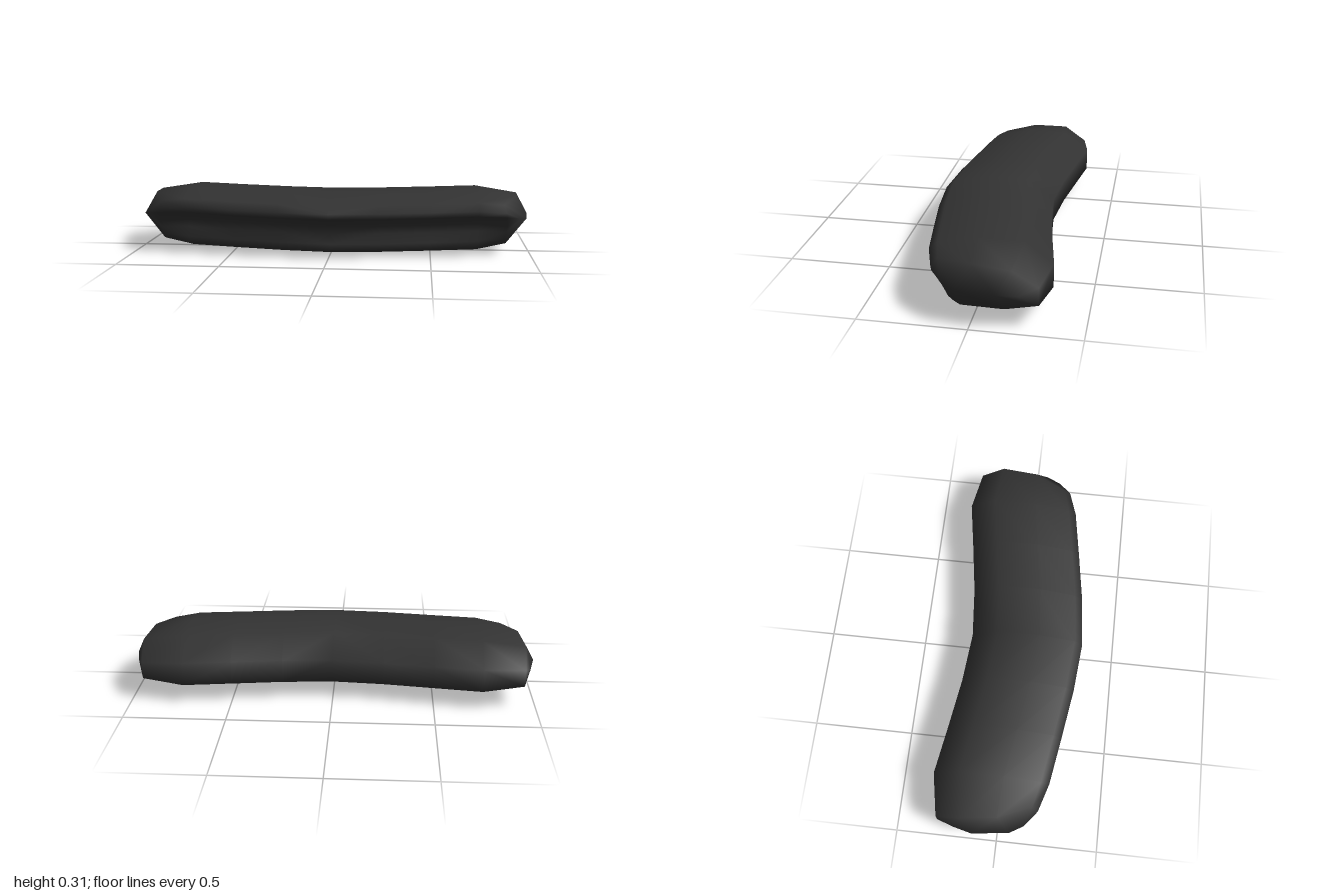
import * as THREE from 'three';
import { mergeVertices } from 'three/addons/utils/BufferGeometryUtils.js';

// Middle cross-section as [z, y]: lip, top, back, bottom, then up through the front groove
const profile = [
  [0.33, 0.23], [0.29, 0.267], [0.11, 0.306], [-0.105, 0.301], [-0.235, 0.205],
  [-0.235, 0.09], [-0.07, 0.016], [0.125, 0.002], [0.205, 0.025], [0.215, 0.06],
  [0.2, 0.11], [0.217, 0.15], [0.25, 0.19], [0.305, 0.2],
];

// Shoulder ring near each end, where the groove has closed: [x, y, z]
const shoulder = [
  [0.87, 0.225, 0.19], [0.86, 0.262, 0.16], [0.93, 0.285, 0], [0.95, 0.278, -0.18], [0.94, 0.2, -0.297],
  [0.94, 0.115, -0.297], [0.9, 0.06, -0.14], [0.88, 0.052, 0.06], [0.85, 0.055, 0.1], [0.87, 0.085, 0.115],
  [0.875, 0.12, 0.125], [0.878, 0.15, 0.145], [0.876, 0.18, 0.165], [0.872, 0.203, 0.185],
];

// Ridge closing each end, and the ridge point each profile point runs to
const ridge = [[0.942, 0.19, 0.128], [0.98, 0.18, 0.06], [1, 0.18, -0.12], [0.975, 0.17, -0.215]];
const ridgeIndex = [0, 0, 1, 2, 3, 3, 2, 1, 0, 0, 0, 0, 0, 0];

// Body section at x, swept back and lifted slightly toward the ends
function section(x, shift, lift) {
  return profile.map(([z, y]) => [x, y + lift, z + shift]);
}

function createPadGeometry() {
  const half = [
    section(0.25, -0.022, 0.002),
    section(0.5, -0.06, 0.005),
    section(0.735, -0.098, 0.009),
    shoulder,
    ridgeIndex.map((i) => ridge[i]),
  ];
  const mirrored = half.map((ring) => ring.map(([x, y, z]) => [-x, y, z])).reverse();
  const rings = [...mirrored, section(0, 0, 0), ...half];

  const n = profile.length;
  const index = [];
  for (let i = 0; i < rings.length - 1; i++) {
    for (let j = 0; j < n; j++) {
      const a = i * n + j, d = i * n + (j + 1) % n;
      const b = a + n, c = d + n;
      // Mirror the quad split on the two halves
      if (i < (rings.length - 1) / 2) index.push(a, b, d, b, c, d);
      else index.push(a, b, c, a, c, d);
    }
  }
  const geometry = new THREE.BufferGeometry();
  geometry.setAttribute('position', new THREE.Float32BufferAttribute(rings.flat(2), 3));
  geometry.setIndex(index);
  const merged = mergeVertices(geometry, 1e-4);
  merged.computeVertexNormals();
  return merged;
}

export function createModel() {
  const group = new THREE.Group();
  group.name = 'curvedPad';
  const material = new THREE.MeshStandardMaterial({ color: 0x333333 });
  const pad = new THREE.Mesh(createPadGeometry(), material);
  pad.name = 'groovedPad';
  group.add(pad);
  return group;
}
